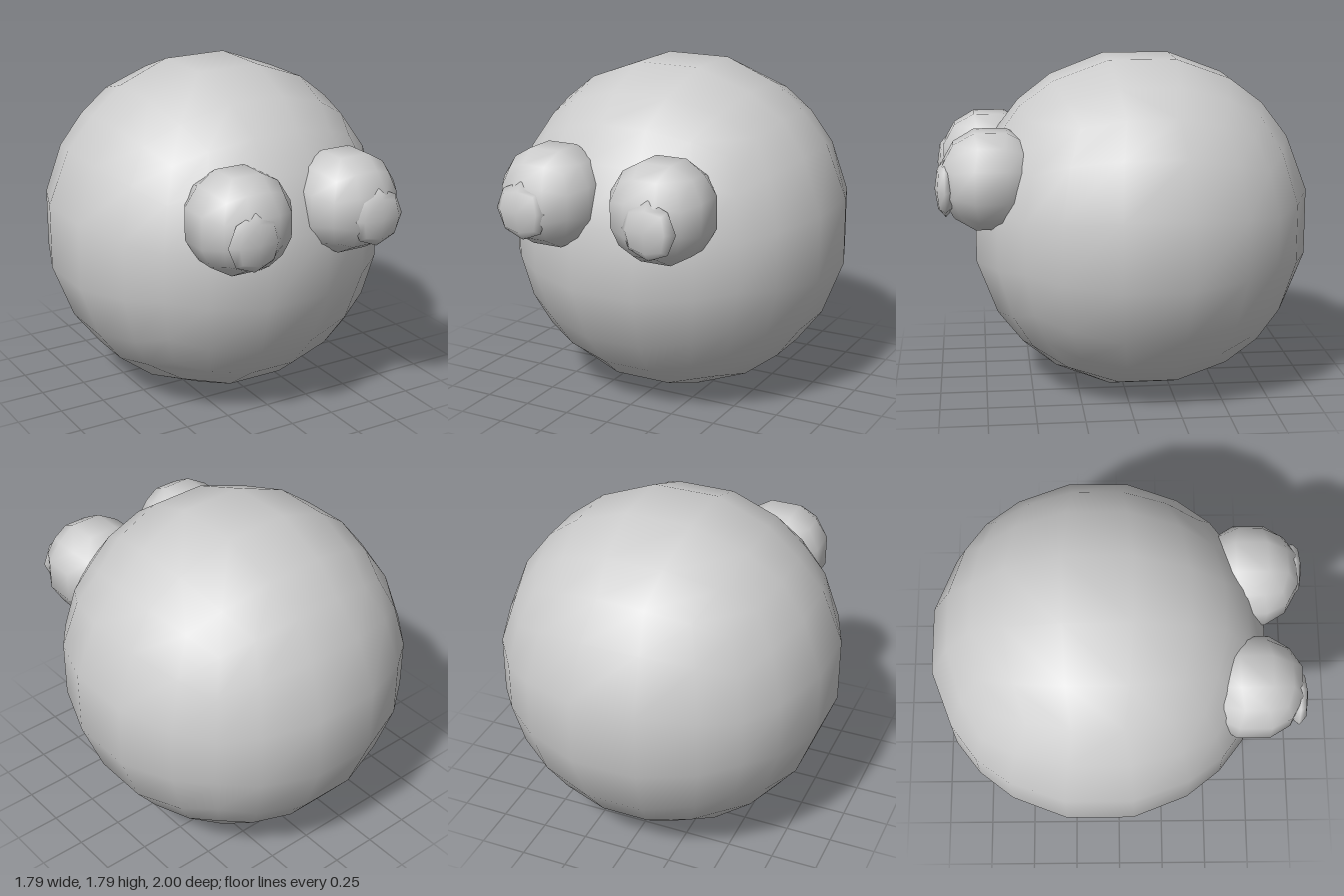
import * as THREE from 'three';

const grey = new THREE.MeshStandardMaterial({ color: 0xcccccc });
grey.name = 'plainGrey';

// Quad sphere: a subdivided cube pushed out to a radius, with smooth normals
function quadSphere(name, radius, segments, x, y, z) {
  const geometry = new THREE.BoxGeometry(2, 2, 2, segments, segments, segments);
  const position = geometry.attributes.position;
  const normal = geometry.attributes.normal;
  const v = new THREE.Vector3();
  for (let i = 0; i < position.count; i++) {
    v.fromBufferAttribute(position, i).normalize();
    normal.setXYZ(i, v.x, v.y, v.z);
    position.setXYZ(i, v.x * radius, v.y * radius, v.z * radius);
  }
  const mesh = new THREE.Mesh(geometry, grey);
  mesh.name = name;
  mesh.position.set(x, y, z);
  return mesh;
}

export function createModel() {
  const model = new THREE.Group();
  model.name = 'roundCreature';

  // Large round body
  model.add(quadSphere('body', 0.93, 5, 0, 0.896, -0.105));

  // Bulging eyes, each with a flattened pupil on the front
  for (const [side, s] of [['left', 1], ['right', -1]]) {
    model.add(quadSphere(side + 'Eye', 0.28, 3, s * 0.317, 1.196, 0.705));
    const pupil = quadSphere(side + 'Pupil', 0.152, 2, s * 0.362, 1.16, 0.942);
    pupil.scale.z = 0.36;
    model.add(pupil);
  }
  return model;
}
